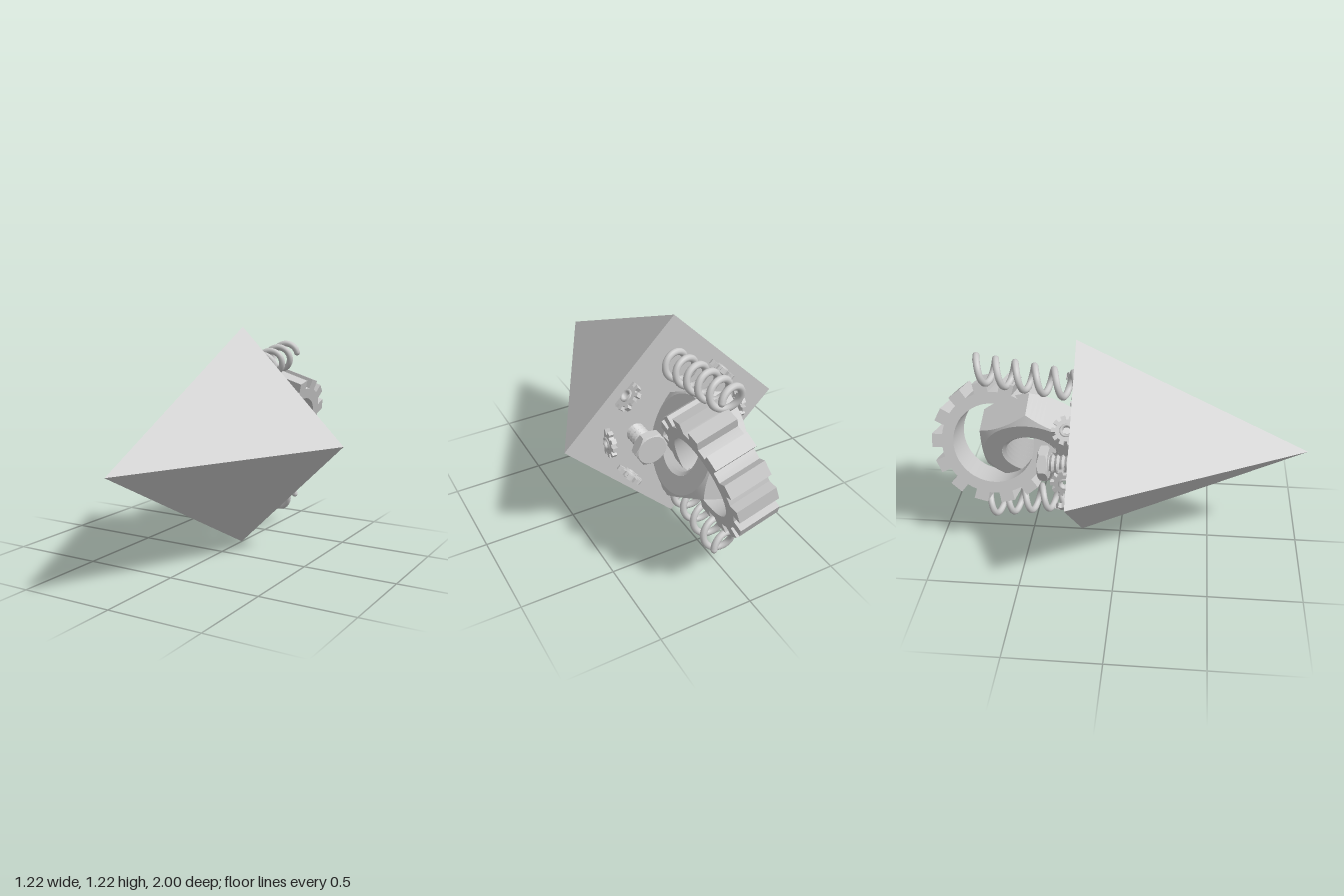
import * as THREE from 'three';
import { toCreasedNormals } from 'three/addons/utils/BufferGeometryUtils.js';

const MID = 0.61;    // height of the pyramid axis
const BASE = -0.22;  // z of the pyramid's back plate
const grey = new THREE.MeshStandardMaterial({ color: 0xcccccc });
const flatGrey = new THREE.MeshStandardMaterial({ color: 0xcccccc, flatShading: true });
const thin = new THREE.MeshStandardMaterial({ color: 0xcccccc, side: THREE.DoubleSide });

function add(parent, name, geometry, material = grey, x = 0, y = 0, z = 0) {
  const mesh = new THREE.Mesh(geometry, material);
  mesh.name = name;
  mesh.position.set(x, y, z);
  parent.add(mesh);
  return mesh;
}

// Toothed ring around the z axis
function gearGeometry(teeth, tip, root, hole, thickness) {
  const shape = new THREE.Shape();
  const step = (Math.PI * 2) / teeth;
  for (let i = 0; i < teeth; i++) {
    for (const [r, f] of [[root, -0.29], [tip, -0.25], [tip, 0.25], [root, 0.29], [root, 0.5]]) {
      const a = (i + f) * step;
      const x = r * Math.cos(a), y = r * Math.sin(a);
      if (i === 0 && f === -0.29) shape.moveTo(x, y);
      else shape.lineTo(x, y);
    }
  }
  shape.closePath();
  shape.holes.push(new THREE.Path().absarc(0, 0, hole, 0, Math.PI * 2, true));
  const g = new THREE.ExtrudeGeometry(shape, { depth: thickness, bevelEnabled: false, curveSegments: 24 });
  g.translate(0, 0, -thickness / 2);
  return toCreasedNormals(g, 0.5);
}

// Hexagon with both rims turned down to a circle, around the z axis; flats face +-x
function hexGeometry(apothem, half, hole) {
  const N = 72, round = apothem * 0.96;
  const hexR = (a) => {
    const s = Math.PI / 3;
    return apothem / Math.cos(a - Math.round(a / s) * s);
  };
  const drop = (r) => half - (r - round) * 0.65;
  const rings = [
    () => [hole, half], () => [round, half],
    (r) => [r, drop(r)], (r) => [r, -drop(r)],
    () => [round, -half], () => [hole, -half],
  ];
  const pos = [], index = [];
  rings.forEach((ring, k) => {
    for (let i = 0; i < N; i++) {
      const a = (i / N) * Math.PI * 2;
      const [r, z] = ring(hexR(a));
      pos.push(r * Math.cos(a), r * Math.sin(a), z);
      if (k === rings.length - 1) continue;
      const p = k * N + i, q = k * N + ((i + 1) % N);
      index.push(p, p + N, q, q, p + N, q + N);
    }
  });
  const g = new THREE.BufferGeometry();
  g.setAttribute('position', new THREE.Float32BufferAttribute(pos, 3));
  g.setIndex(index);
  return toCreasedNormals(g, 0.35);
}

// Ridged screw surface around the z axis
function threadGeometry(inner, outer, length, ridges) {
  const pts = [];
  for (let i = 0; i <= ridges * 2; i++) {
    pts.push(new THREE.Vector2(i % 2 ? inner : outer, (i / (ridges * 2) - 0.5) * length));
  }
  const g = new THREE.LatheGeometry(pts, 36);
  g.rotateX(Math.PI / 2);
  return toCreasedNormals(g, 0.5);
}

// Turn a z-axis part to lie along x, then tilt it about z
function sideways(geometry, tilt) {
  return geometry.rotateY(Math.PI / 2).rotateZ(tilt);
}

// Coil running backwards from the plate, drifting up or down by slope
function addSpring(parent, name, y, slope) {
  const pts = [], pitch = 0.101, steps = 130;
  for (let i = 0; i <= steps; i++) {
    const t = -0.2 + (i / steps) * 5.42;
    const a = t * Math.PI * 2;
    const z = -0.235 - t * pitch;
    pts.push(new THREE.Vector3(0.068 * Math.sin(a), y + slope * (BASE - z) + 0.068 * Math.cos(a), z));
  }
  const spring = new THREE.Group();
  spring.name = name;
  parent.add(spring);
  add(spring, 'coil', new THREE.TubeGeometry(new THREE.CatmullRomCurve3(pts), 260, 0.018, 10), grey);
  const end = pts[pts.length - 1];
  add(spring, 'coilEnd', new THREE.SphereGeometry(0.018, 10, 8), grey, end.x, end.y, end.z);
}

export function createModel() {
  const model = new THREE.Group();
  model.name = 'pyramidWithMachineParts';

  // Four-sided pyramid pointing forward
  const pyramid = new THREE.ConeGeometry(MID, 1 - BASE, 4).rotateX(Math.PI / 2);
  add(model, 'pyramid', pyramid, flatGrey, 0, MID, (1 + BASE) / 2);

  // Large gear, top leaning to +x
  add(model, 'largeGear', sideways(gearGeometry(14, 0.335, 0.28, 0.218, 0.22), -0.295), grey, 0, MID, -0.665);

  // Large nut, leaning the other way through the gear
  const nut = new THREE.Group();
  nut.name = 'largeNut';
  nut.position.set(0, MID, -0.47);
  model.add(nut);
  add(nut, 'nutBody', sideways(hexGeometry(0.26, 0.105, 0.155), 0.35));
  add(nut, 'nutThread', sideways(threadGeometry(0.135, 0.155, 0.21, 7), 0.35), thin);

  // Springs above and below
  addSpring(model, 'upperSpring', 0.95, 0.155);
  addSpring(model, 'lowerSpring', 0.25, -0.165);

  const cog = gearGeometry(10, 0.076, 0.056, 0.022, 0.026);
  for (const side of [1, -1]) {
    // Bolt screwed into the plate
    const bolt = new THREE.Group();
    bolt.name = side > 0 ? 'leftBolt' : 'rightBolt';
    bolt.position.set(side * 0.22, MID, 0);
    model.add(bolt);
    add(bolt, 'boltHead', hexGeometry(0.08, 0.027, 0).rotateZ(Math.PI / 2), grey, 0, 0, -0.378);
    add(bolt, 'boltShaft', threadGeometry(0.038, 0.05, 0.16, 6), thin, 0, 0, -0.28);

    // Three small cogs set into the plate, fanned around the corner
    for (const k of [-1, 0, 1]) {
      const smallGear = new THREE.Group();
      smallGear.name = 'smallGear';
      smallGear.position.set(side * (k ? 0.27 : 0.38), MID + k * 0.24, -0.245);
      model.add(smallGear);
      const tilt = side * k * Math.PI / 4;
      add(smallGear, 'cog', sideways(cog.clone(), tilt));
      add(smallGear, 'hubRing', sideways(new THREE.TorusGeometry(0.028, 0.009, 8, 24).scale(1, 1, 2.2), tilt));
    }
  }
  return model;
}
